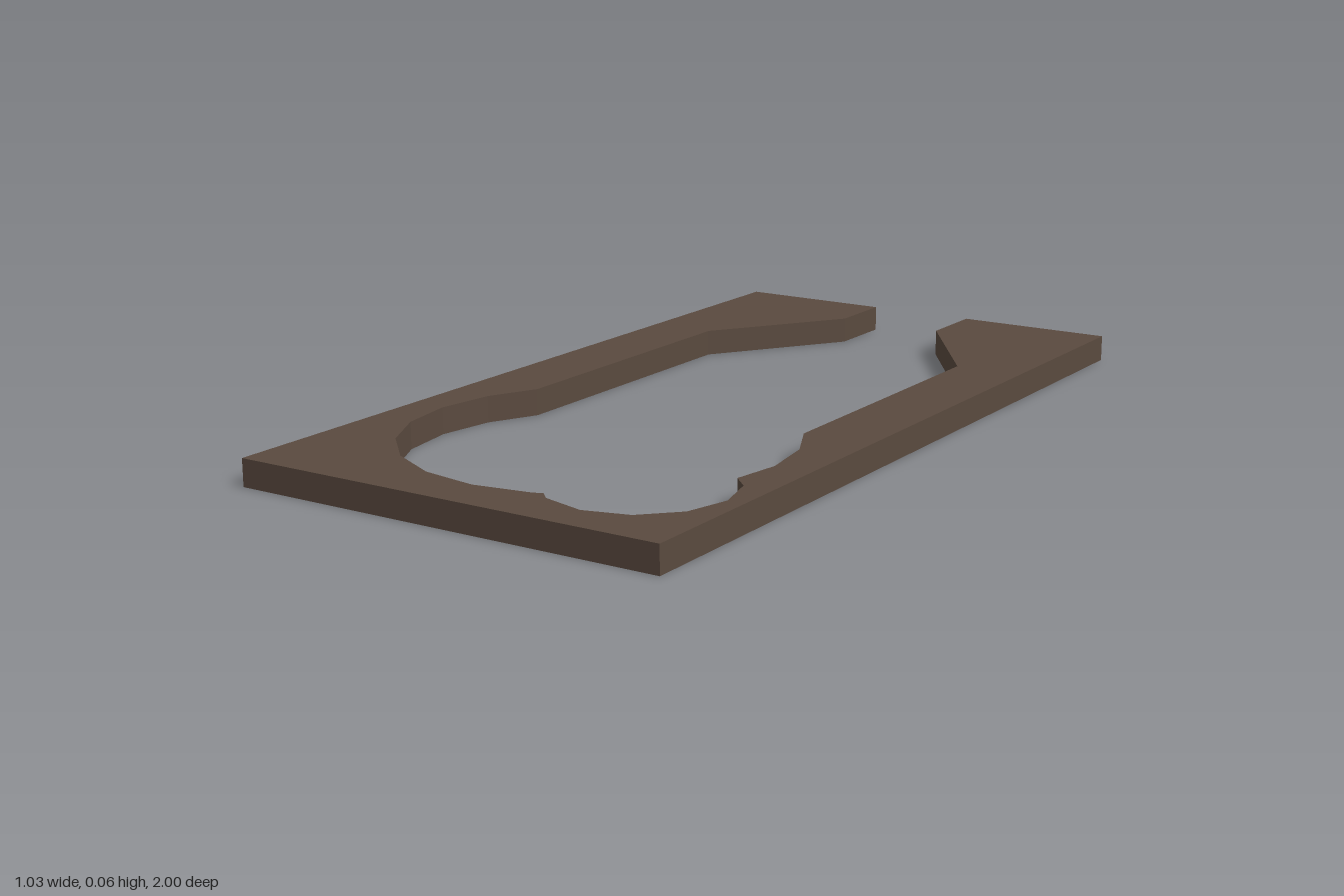
import * as THREE from 'three';

const HALF_WIDTH = 0.517, HALF_LENGTH = 1, THICKNESS = 0.062;

// Points on a circle in plan (x, z), stepped by equal angles from step a to step b
function arc(cx, cz, r, sides, a, b) {
  const points = [];
  const dir = Math.sign(b - a);
  for (let i = a; i !== b + dir; i += dir) {
    const t = (i / sides) * Math.PI * 2;
    points.push([cx + r * Math.cos(t), cz + r * Math.sin(t)]);
  }
  return points;
}

export function createModel() {
  const group = new THREE.Group();
  group.name = 'cutoutPanel';

  const darkBrown = new THREE.MeshStandardMaterial({ color: 0x5a4a3f });
  darkBrown.name = 'darkBrown';

  // Outline in plan: rectangle, open at the back, with a tapering channel
  // that ends in a large round bay and a smaller bay overlapping it
  const outline = [
    [-HALF_WIDTH, -HALF_LENGTH], [-HALF_WIDTH, HALF_LENGTH],
    [HALF_WIDTH, HALF_LENGTH], [HALF_WIDTH, -HALF_LENGTH],
    // right-hand side of the channel in plan
    [0.133, -HALF_LENGTH], [0.133, -0.828], [0.354, -0.51], [0.354, 0.214],
    // start of the large bay
    ...arc(-0.002, 0.46, 0.433, 20, -1, 0),
    [0.413, 0.573],
    // small bay
    ...arc(0.276, 0.711, 0.202, 12, -1, 4),
    [0.152, 0.863],
    // rest of the large bay
    ...arc(-0.002, 0.46, 0.433, 20, 4, 11),
    // left-hand side of the channel in plan
    [-0.358, 0.214], [-0.358, -0.51], [-0.137, -0.828], [-0.137, -HALF_LENGTH],
  ];
  const shape = new THREE.Shape(outline.map(([x, z]) => new THREE.Vector2(x, -z)));

  // Flat panel standing on y = 0
  const geometry = new THREE.ExtrudeGeometry(shape, { depth: THICKNESS, bevelEnabled: false });
  geometry.rotateX(-Math.PI / 2);
  const panel = new THREE.Mesh(geometry, darkBrown);
  panel.name = 'panel';
  group.add(panel);

  return group;
}
